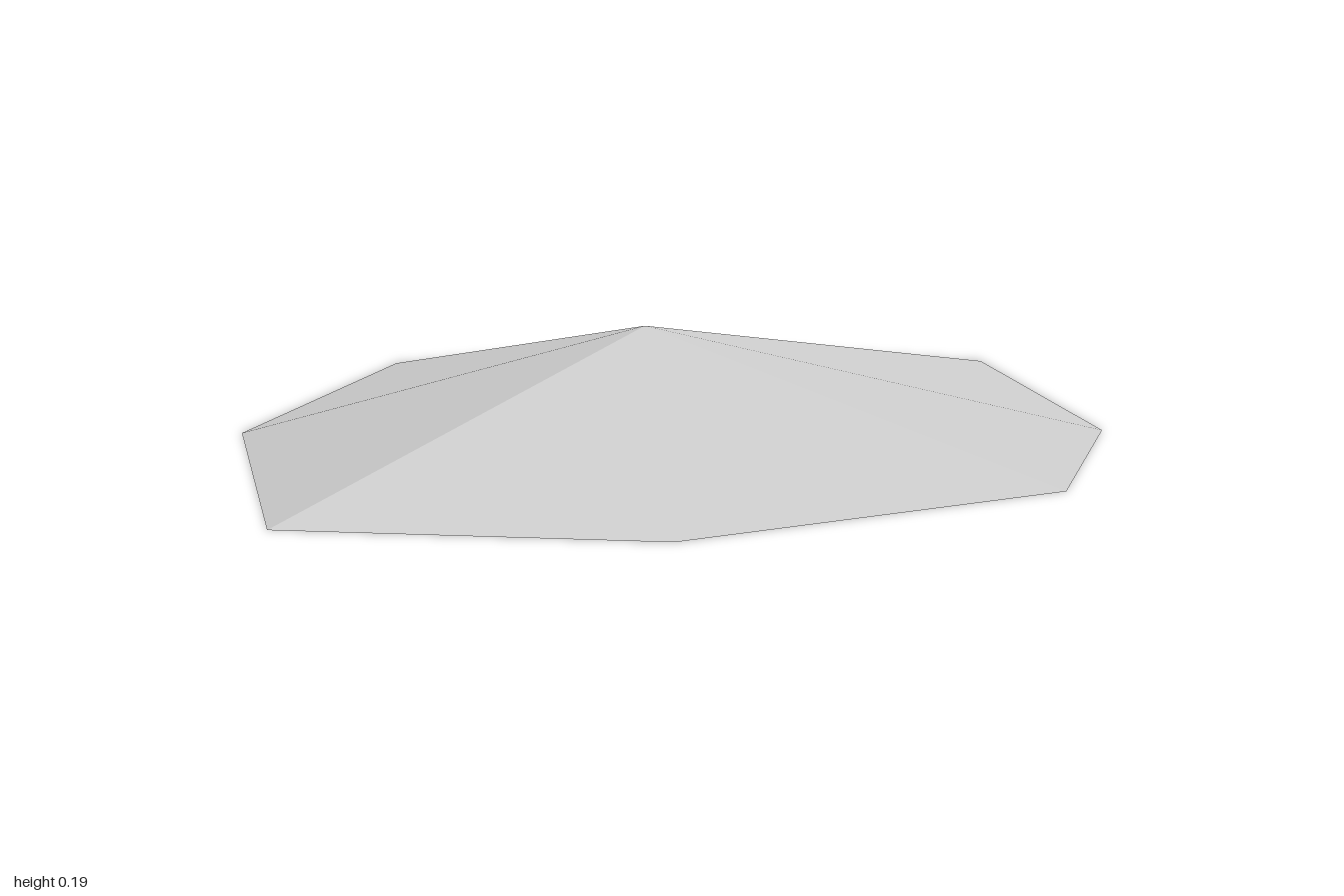
import * as THREE from 'three';

export function createModel() {
  const group = new THREE.Group();
  group.name = 'facetedShell';
  const grey = new THREE.MeshStandardMaterial({ color: 0xcccccc, side: THREE.DoubleSide });
  grey.name = 'grey';

  // Rim corners on the ground (x, z), counter-clockwise from above; ridges run to the even ones
  const rim = [
    [0.07, 1], [0.6, 0.675], [0.85, -0.015], [0.612, -0.51],
    [0.03, -1], [-0.63, -0.77], [-0.85, -0.245], [-0.54, 0.47],
  ].map(([x, z]) => new THREE.Vector3(x, 0, z));
  const apex = new THREE.Vector3(0.005, 0.19, 0.02);

  // A panel folds either down to its middle corner or straight across between its ridges
  const foldDown = [0, 1, 2, 0, 2, 3];
  const foldAcross = [0, 1, 3, 1, 2, 3];
  const facets = [
    ['frontLeftFacet', foldAcross],
    ['backLeftFacet', foldDown],
    ['backRightFacet', foldDown],
    ['frontRightFacet', foldDown],
  ];

  // Each facet is a four-cornered panel shaded with a single normal
  facets.forEach(([name, fold], i) => {
    const corners = [apex, rim[2 * i], rim[2 * i + 1], rim[(2 * i + 2) % 8]];
    const geometry = new THREE.BufferGeometry().setFromPoints(corners);
    geometry.setIndex(fold);
    const across = corners[2].clone().sub(corners[0]);
    const along = corners[3].clone().sub(corners[1]);
    const normal = across.cross(along).normalize();
    const normals = corners.flatMap(() => normal.toArray());
    geometry.setAttribute('normal', new THREE.Float32BufferAttribute(normals, 3));
    const facet = new THREE.Mesh(geometry, grey);
    facet.name = name;
    group.add(facet);
  });
  return group;
}
